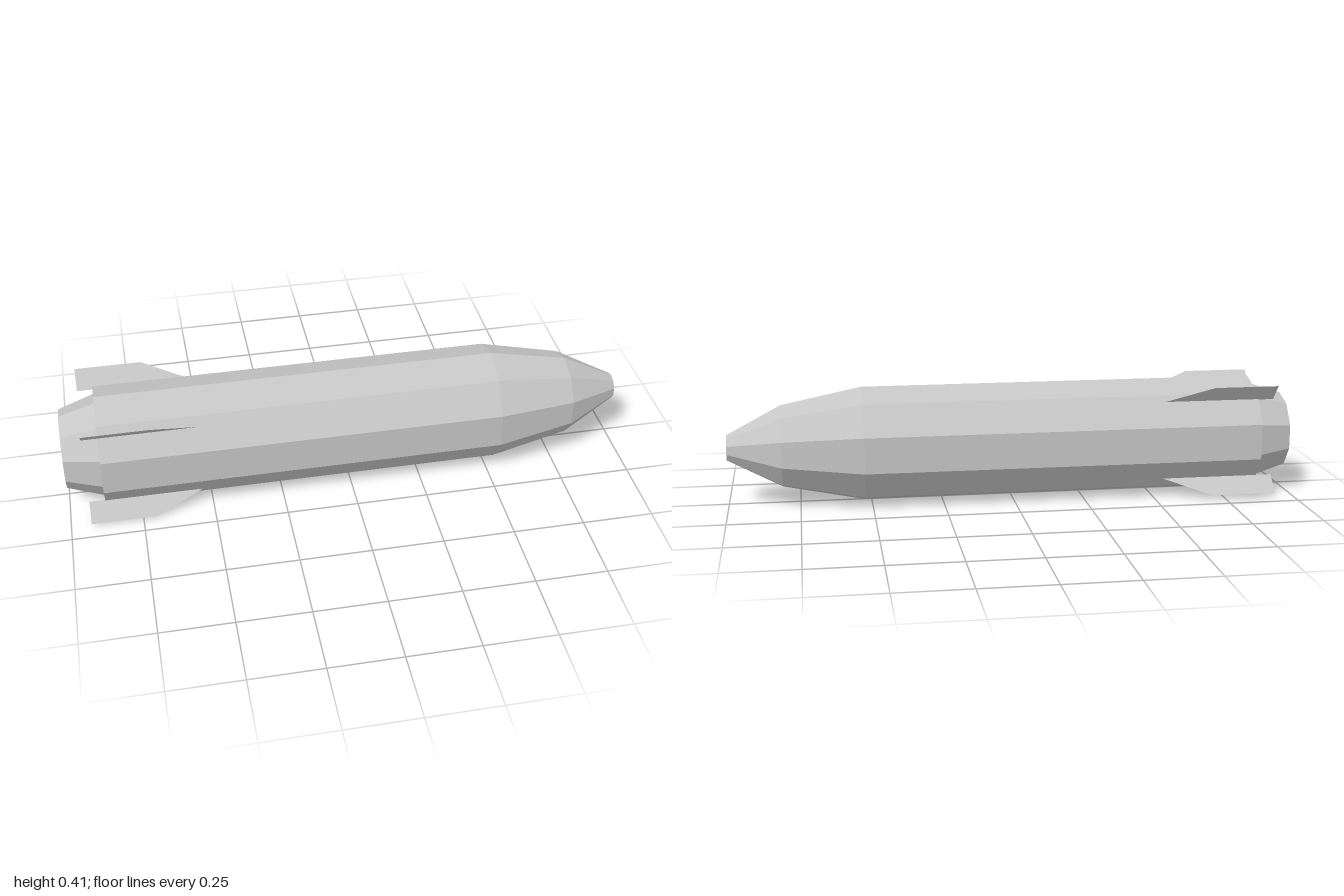
import * as THREE from 'three';

const AXIS_Y = 0.204; // height of the hull's long axis

export function createModel() {
  const model = new THREE.Group();
  model.name = 'rocket';

  const grey = new THREE.MeshStandardMaterial({ color: 0xc6c6c6, flatShading: true });
  grey.name = 'hull grey';
  const finGrey = grey.clone();
  finGrey.name = 'hull grey two sided';
  finGrey.side = THREE.DoubleSide;

  // Ten-sided solid of revolution along x, profile given as [x, radius]
  function revolve(name, profile) {
    const points = profile.map(([x, r]) => new THREE.Vector2(r, x));
    const geometry = new THREE.LatheGeometry(points, 10, Math.PI / 2);
    geometry.rotateZ(-Math.PI / 2);
    const mesh = new THREE.Mesh(geometry, grey);
    mesh.name = name;
    mesh.position.y = AXIS_Y;
    model.add(mesh);
  }

  // Tapered hull with its blunt nose and stepped rear face
  revolve('hull', [[-0.875, 0], [-0.875, 0.204], [0.53, 0.204], [0.81, 0.147], [1, 0.046], [1, 0]]);

  // Narrowing engine section at the tail
  revolve('engine', [[-1, 0], [-1, 0.138], [-0.875, 0.178]]);

  // Four flat tail fins, each drawn in the x / radius plane
  const outline = [[-0.93, 0.195], [-0.53, 0.195], [-0.7, 0.274], [-0.93, 0.274]];
  const finGeometry = new THREE.ShapeGeometry(
    new THREE.Shape(outline.map(([x, r]) => new THREE.Vector2(x, r)))
  );
  for (let i = 0; i < 4; i++) {
    const fin = new THREE.Mesh(finGeometry, finGrey);
    fin.name = 'tailFin' + (i + 1);
    fin.position.y = AXIS_Y;
    fin.rotation.x = THREE.MathUtils.degToRad(46.8 + 90 * i);
    model.add(fin);
  }

  return model;
}
